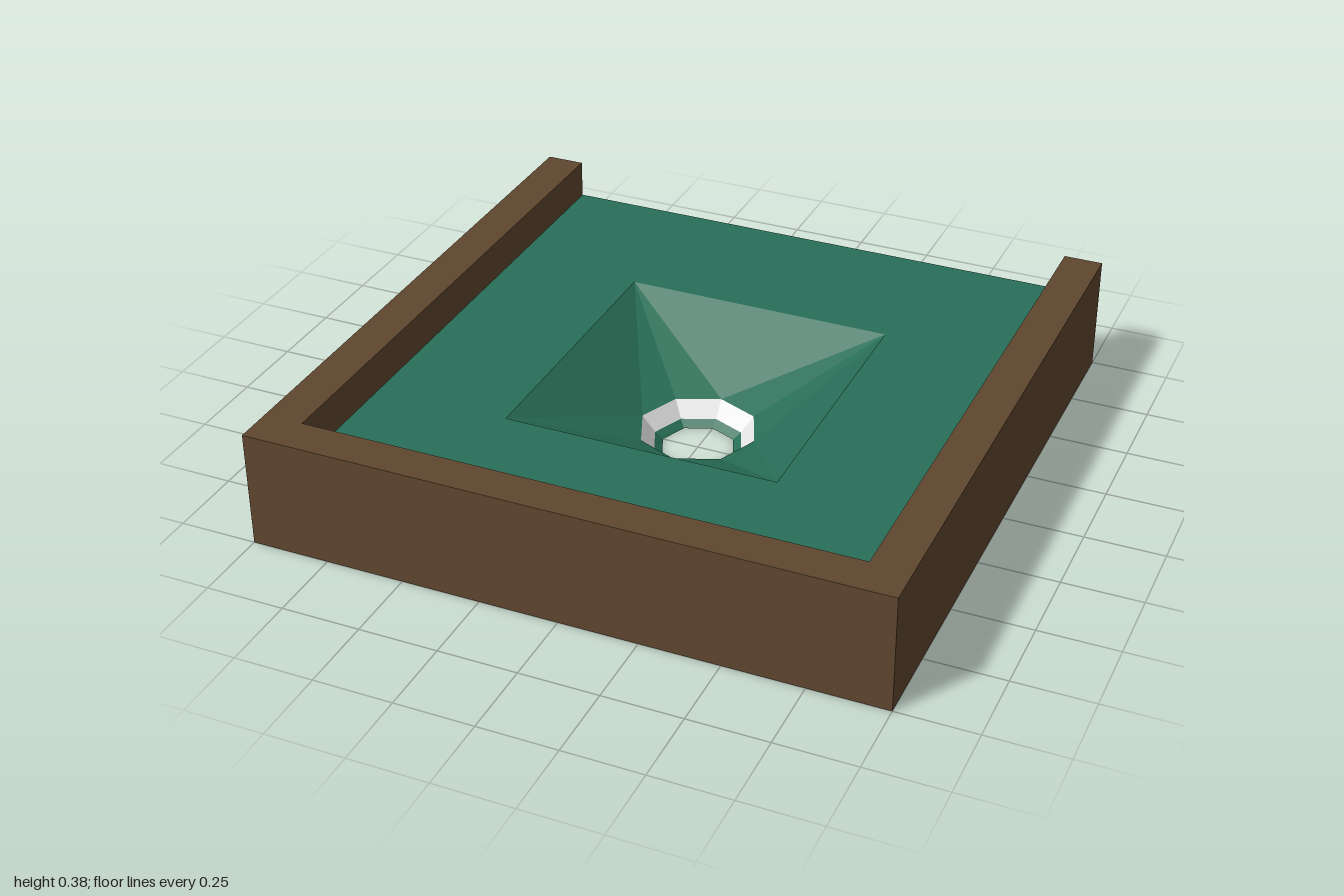
import * as THREE from 'three';

const wood = new THREE.MeshStandardMaterial({ color: 0x60472f });
wood.name = 'brown wood';
const felt = new THREE.MeshStandardMaterial({ color: 0x286f58 });
felt.name = 'green felt';
const cupWhite = new THREE.MeshStandardMaterial({ color: 0xf0f0f0 });
cupWhite.name = 'white cup';

const HEIGHT = 0.375, FLOOR = 0.25, INNER = 0.875;

// Outlines are given as [x, z] pairs and lie flat after rotation
const points = (pairs) => pairs.map(([x, z]) => new THREE.Vector2(x, -z));
const flatShape = (outline, hole) => {
  const shape = new THREE.Shape(points(outline));
  if (hole) shape.holes.push(new THREE.Path(points(hole)));
  return shape;
};

// Eight corners of a level octagon, as [x, y, z]
const octagon = (r, y) => Array.from({ length: 8 }, (_, k) => {
  const a = (k * Math.PI) / 4;
  return [r * Math.cos(a), y, r * Math.sin(a)];
});

// Flat-shaded geometry from a list of triangle corners
function facets(corners) {
  const geometry = new THREE.BufferGeometry();
  geometry.setAttribute('position', new THREE.Float32BufferAttribute(corners.flat(), 3));
  geometry.computeVertexNormals();
  return geometry;
}

// Band of faces between an upper, wider ring and a lower, narrower one
function band(outer, inner) {
  const corners = [];
  outer.forEach((o, k) => {
    const n = (k + 1) % outer.length;
    corners.push(o, inner[k], outer[n], outer[n], inner[k], inner[n]);
  });
  return facets(corners);
}

export function createModel() {
  const group = new THREE.Group();
  const add = (name, geometry, material) => {
    const mesh = new THREE.Mesh(geometry, material);
    mesh.name = name;
    group.add(mesh);
    return mesh;
  };

  const rimTop = octagon(0.19, 0.07);
  const rimBottom = octagon(0.147, 0.02);
  const drain = octagon(0.12, 0);
  const pit = [[0.44, 0.44], [-0.44, 0.44], [-0.44, -0.49], [0.44, -0.49]];
  const bed = [[-INNER, -1], [INNER, -1], [INNER, INNER], [-INNER, INNER]];

  // U-shaped border, open at the back
  const border = flatShape([
    [-1, -1], [-INNER, -1], [-INNER, INNER], [INNER, INNER],
    [INNER, -1], [1, -1], [1, 1], [-1, 1],
  ]);
  add('border', new THREE.ExtrudeGeometry(border, { depth: HEIGHT, bevelEnabled: false })
    .rotateX(-Math.PI / 2), wood);

  // Panel closing the back below the felt
  add('backPanel', new THREE.PlaneGeometry(2 * INNER, FLOOR)
    .rotateY(Math.PI).translate(0, FLOOR / 2, -1), wood);

  // Underside with the hole cut through
  const underside = flatShape(bed.map(([x, z]) => [x, -z]), drain.map(([x, , z]) => [x, z]));
  add('underside', new THREE.ShapeGeometry(underside).rotateX(Math.PI / 2), wood);

  // Felt floor around the pit
  add('floor', new THREE.ShapeGeometry(flatShape(bed, pit))
    .rotateX(-Math.PI / 2).translate(0, FLOOR, 0), felt);

  // Four folded slopes from the square pit edge down to the octagonal cup
  const slopes = [];
  for (let s = 0; s < 4; s++) {
    const [a, b] = [pit[(s + 3) % 4], pit[s]].map(([x, z]) => [x, FLOOR, z]);
    const [l, m, r] = [(2 * s + 7) % 8, 2 * s, 2 * s + 1].map((k) => rimTop[k]);
    slopes.push(a, l, m, a, m, b, b, m, r);
  }
  add('funnel', facets(slopes), felt);

  // Cup rim and the tapered hole below it
  add('cupRim', band(rimTop, rimBottom), cupWhite);
  add('holeWall', band(rimBottom, drain), felt).material.side = THREE.DoubleSide;

  return group;
}
